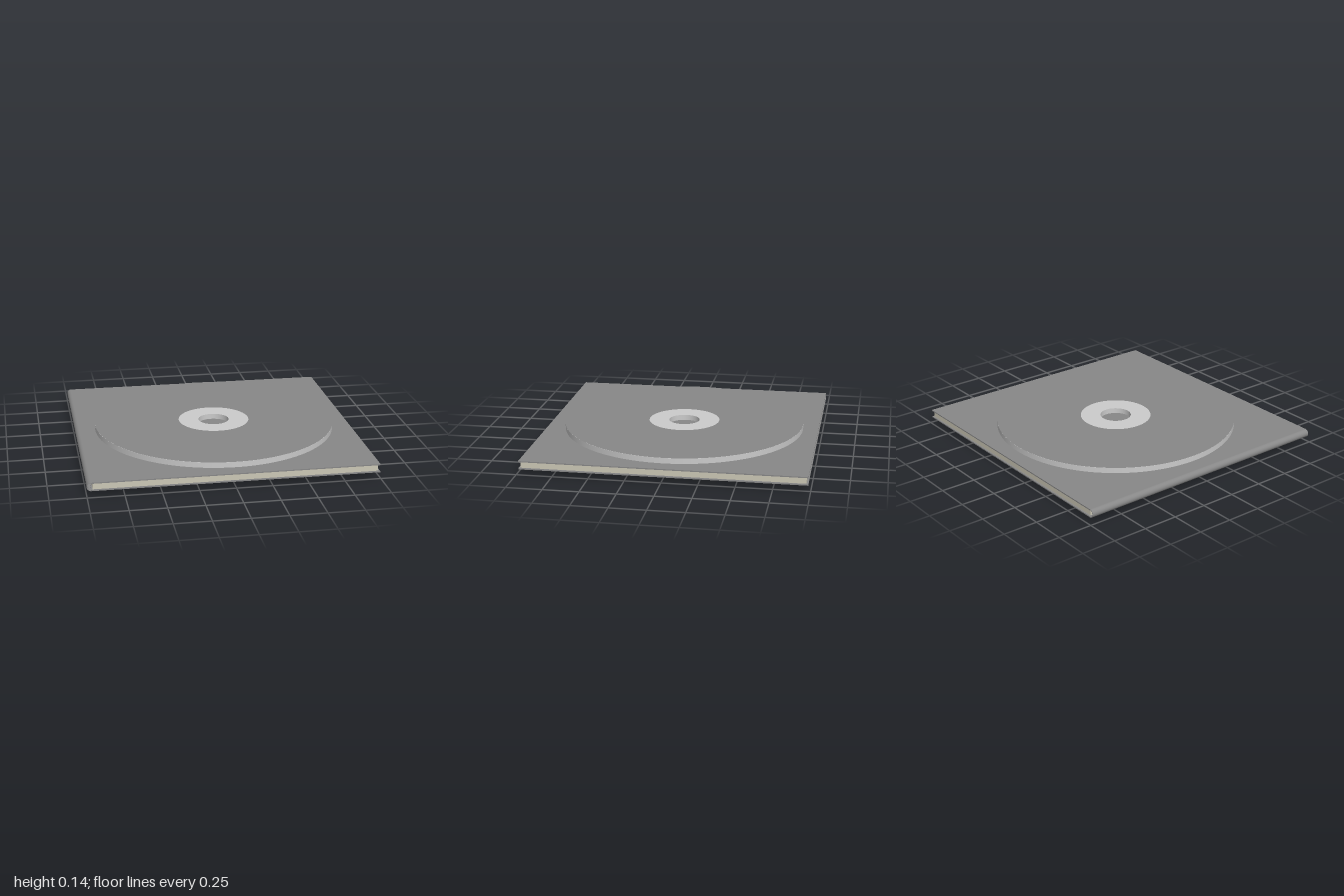
import * as THREE from 'three';

const MID = 0.0685;     // mid height of the case
const HALF = 0.03;      // half thickness of the case
const SKIN = 0.008;     // cover thickness
const DEPTH = 1.966;
const HINGE = -0.97;    // where the covers meet the rounded spine

const material = (color) => new THREE.MeshStandardMaterial({ color });

function addMesh(parent, name, geometry, mat, x = 0, y = 0, z = 0) {
  const mesh = new THREE.Mesh(geometry, mat);
  mesh.name = name;
  mesh.position.set(x, y, z);
  parent.add(mesh);
  return mesh;
}

// Disc with a centre hole; each profile edge is turned separately to keep the rims crisp
function createDisc(name, bodyMat, printMat, up) {
  const disc = new THREE.Group();
  disc.name = name;
  const h = 0.0385, r = 0.873, hole = 0.112;
  const corners = [[hole, 0], [r, 0], [r, h], [hole, h], [hole, 0]];
  for (let i = 0; i < 4; i++) {
    const edge = [corners[i], corners[i + 1]].map(([a, b]) => new THREE.Vector2(a, b));
    addMesh(disc, ['discBase', 'discRim', 'discFace', 'discHoleWall'][i], new THREE.LatheGeometry(edge, 128), bodyMat);
  }
  // Printed area outside the pale centre ring
  const print = addMesh(disc, 'printedFace', new THREE.RingGeometry(0.257, r, 128, 1), printMat, 0, h + 0.0008, 0);
  print.rotation.x = -Math.PI / 2;
  disc.position.set(0.015, MID + (up ? HALF : -HALF), 0);
  if (!up) disc.rotation.x = Math.PI;
  return disc;
}

export function createModel() {
  const model = new THREE.Group();
  model.name = 'discCase';
  const coverMat = material(0x888888);
  const pageMat = material(0xccc8b6);
  const discMat = material(0xcccccc);

  // Covers
  const coverGeo = new THREE.BoxGeometry(1 - HINGE, SKIN, DEPTH);
  for (const s of [1, -1]) {
    addMesh(model, s > 0 ? 'topCover' : 'bottomCover', coverGeo, coverMat, (1 + HINGE) / 2, MID + s * (HALF - SKIN / 2), 0);
  }

  // Hollow half-round spine, open at both ends
  const arc = new THREE.Shape();
  arc.absarc(0, 0, HALF, Math.PI / 2, Math.PI * 1.5, false);
  arc.absarc(0, 0, HALF - 0.004, Math.PI * 1.5, Math.PI / 2, true);
  const spineGeo = new THREE.ExtrudeGeometry(arc, { depth: DEPTH, bevelEnabled: false, curveSegments: 24 });
  addMesh(model, 'spine', spineGeo, coverMat, HINGE, MID, -DEPTH / 2);

  // Page block, set back from the cover edges
  addMesh(model, 'pages', new THREE.BoxGeometry(1.945, 2 * (HALF - SKIN), 1.942), pageMat, 0.0125, MID, 0);

  // One disc on each cover
  model.add(createDisc('topDisc', discMat, coverMat, true));
  model.add(createDisc('bottomDisc', discMat, coverMat, false));
  return model;
}
